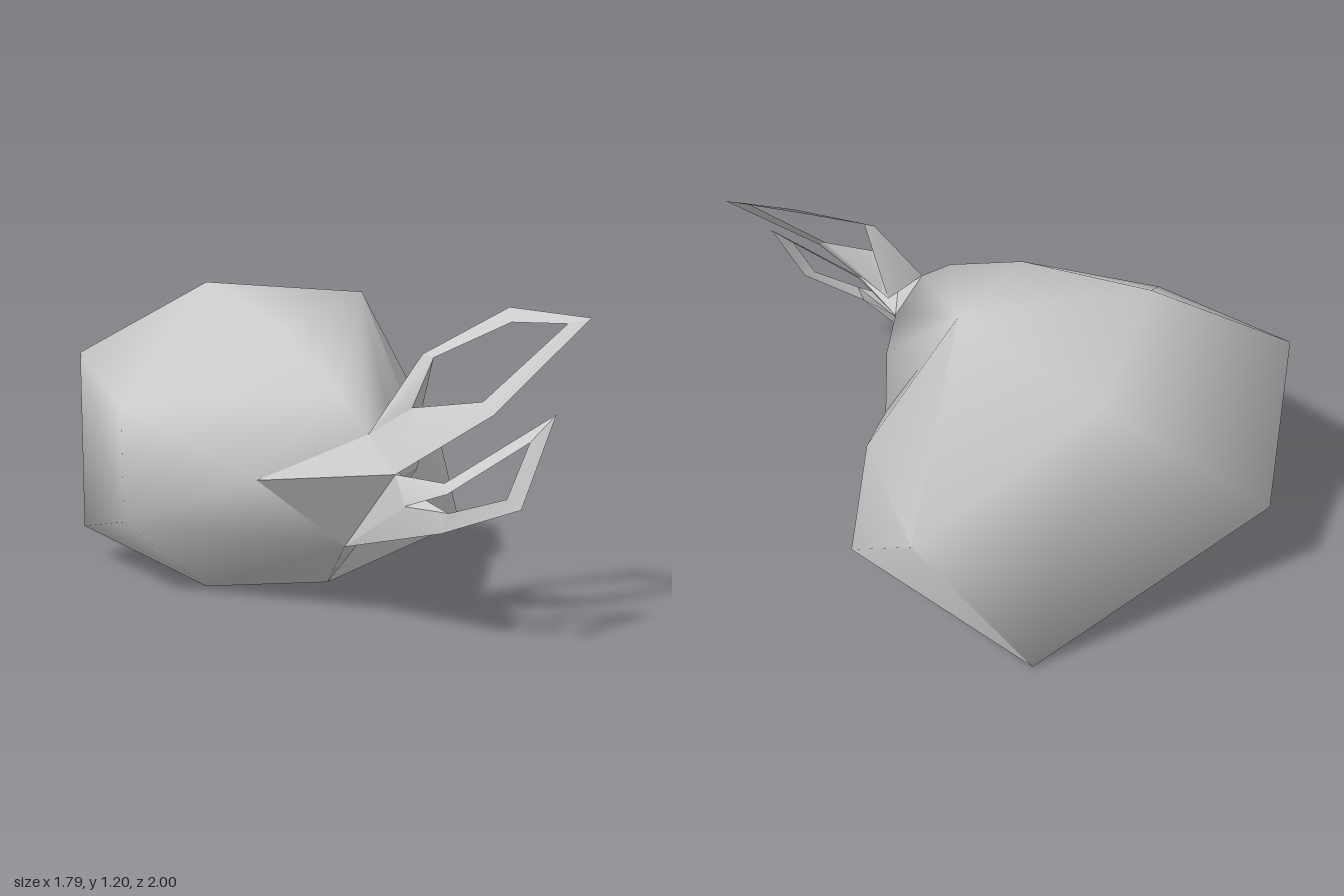
import * as THREE from 'three';
import { ConvexGeometry } from 'three/addons/geometries/ConvexGeometry.js';
import { mergeVertices, toCreasedNormals } from 'three/addons/utils/BufferGeometryUtils.js';

const material = new THREE.MeshStandardMaterial({ color: 0xcccccc, side: THREE.DoubleSide });

// Convex solid around a few corner points, shaded smooth except at sharp edges
function solid(name, corners, crease) {
  const hull = new ConvexGeometry(corners.map((p) => new THREE.Vector3(...p)));
  hull.deleteAttribute('normal');
  const mesh = new THREE.Mesh(toCreasedNormals(mergeVertices(hull, 1e-4), crease), material);
  mesh.name = name;
  return mesh;
}

// Thin ribbon between an outer and an inner path
function ribbon(name, outer, inner) {
  const geometry = new THREE.BufferGeometry();
  const positions = [];
  const index = [];
  outer.forEach((p, i) => {
    positions.push(...p, ...inner[i]);
    if (i > 0) {
      const a = 2 * i - 2;
      index.push(a, a + 1, a + 2, a + 1, a + 3, a + 2);
    }
  });
  geometry.setAttribute('position', new THREE.Float32BufferAttribute(positions, 3));
  geometry.setIndex(index);
  const mesh = new THREE.Mesh(toCreasedNormals(geometry, 0.5), material);
  mesh.name = name;
  return mesh;
}

export function createModel() {
  const model = new THREE.Group();
  model.name = 'boulderWithStems';

  // Corners shared by the body, its side bulge and the stems
  const noseLeft = [0.28, 0.53, 0.53];
  const noseRight = [-0.24, 0.53, 0.52];
  const noseBottom = [0.08, 0.27, 0.47];
  const noseTop = [0.15, 0.69, 0.55];
  const noseTip = [0.22, 0.57, 0.69];
  const shoulder = [0.29, 1.16, -0.42];
  const backLeft = [0.6, 0.58, -0.84];
  const backBottom = [0.22, 0, -1];
  const bottomFront = [0.09, 0.01, -0.02];
  const valley = [0.49, 0.55, -0.1];

  // Large rounded body
  model.add(solid('body', [
    [-0.36, 1.2, -0.54], [0.02, 1.145, -1], shoulder,
    [-0.9, 0.9, -0.61], [-0.9, 0.14, -0.61], [-0.66, 0.51, -1],
    backLeft, backBottom, bottomFront, [-0.4, 0.015, 0],
    [-0.715, 0.74, 0.085], [-0.715, 0.3, 0.085],
    [-0.1, 1.03, 0.02], [0.07, 0.82, 0.4], [0.38, 0.52, 0.3],
    valley, noseLeft, noseRight, noseBottom, noseTop,
  ], Math.PI));

  // Bulge on the left side, standing out beyond the valley
  model.add(solid('sideBulge', [
    [0.72, 0.16, -0.38], [0.6, 0.53, -0.24],
    shoulder, backLeft, backBottom, bottomFront, valley,
  ], 0.95));

  // Wedge where the stems leave the body
  model.add(solid('stemBase', [noseLeft, noseRight, noseBottom, noseTop, noseTip], 0.6));

  // Each stem forks at a crotch into two prongs that carry an open frame
  const stems = [
    {
      name: 'upper',
      crotch: [0.29, 0.79, 0.62],
      roots: [[noseTop, [0.3, 0.6, 0.56]], [noseTip, [0.32, 0.62, 0.58]]],
      outer: [[0.34, 0.97, 0.55], [0.66, 1.13, 0.51], [0.89, 1.1, 0.71], [0.53, 0.78, 0.79]],
      inner: [[0.37, 0.96, 0.59], [0.65, 1.08, 0.575], [0.81, 1.08, 0.7], [0.51, 0.82, 0.73]],
    },
    {
      name: 'lower',
      crotch: [0.24, 0.47, 0.75],
      roots: [[noseTip, noseLeft], [noseBottom, [0.28, 0.5, 0.58]]],
      outer: [[0.36, 0.56, 0.82], [0.7, 0.8, 0.935], [0.57, 0.5, 1], [0.34, 0.4, 0.87]],
      inner: [[0.36, 0.53, 0.86], [0.61, 0.71, 0.945], [0.53, 0.53, 0.97], [0.36, 0.47, 0.88]],
    },
  ];
  for (const { name, crotch, roots, outer, inner } of stems) {
    const stem = new THREE.Group();
    stem.name = name + 'Stem';
    stem.add(solid(name + 'Stalk', [...roots[0], ...roots[1], crotch], 0.9));
    [0, 3].forEach((end, i) => {
      stem.add(solid(name + 'Prong' + (i + 1), [...roots[i], crotch, outer[end], inner[end]], 0.9));
    });
    stem.add(ribbon(name + 'Frame', outer, inner));
    model.add(stem);
  }
  return model;
}
